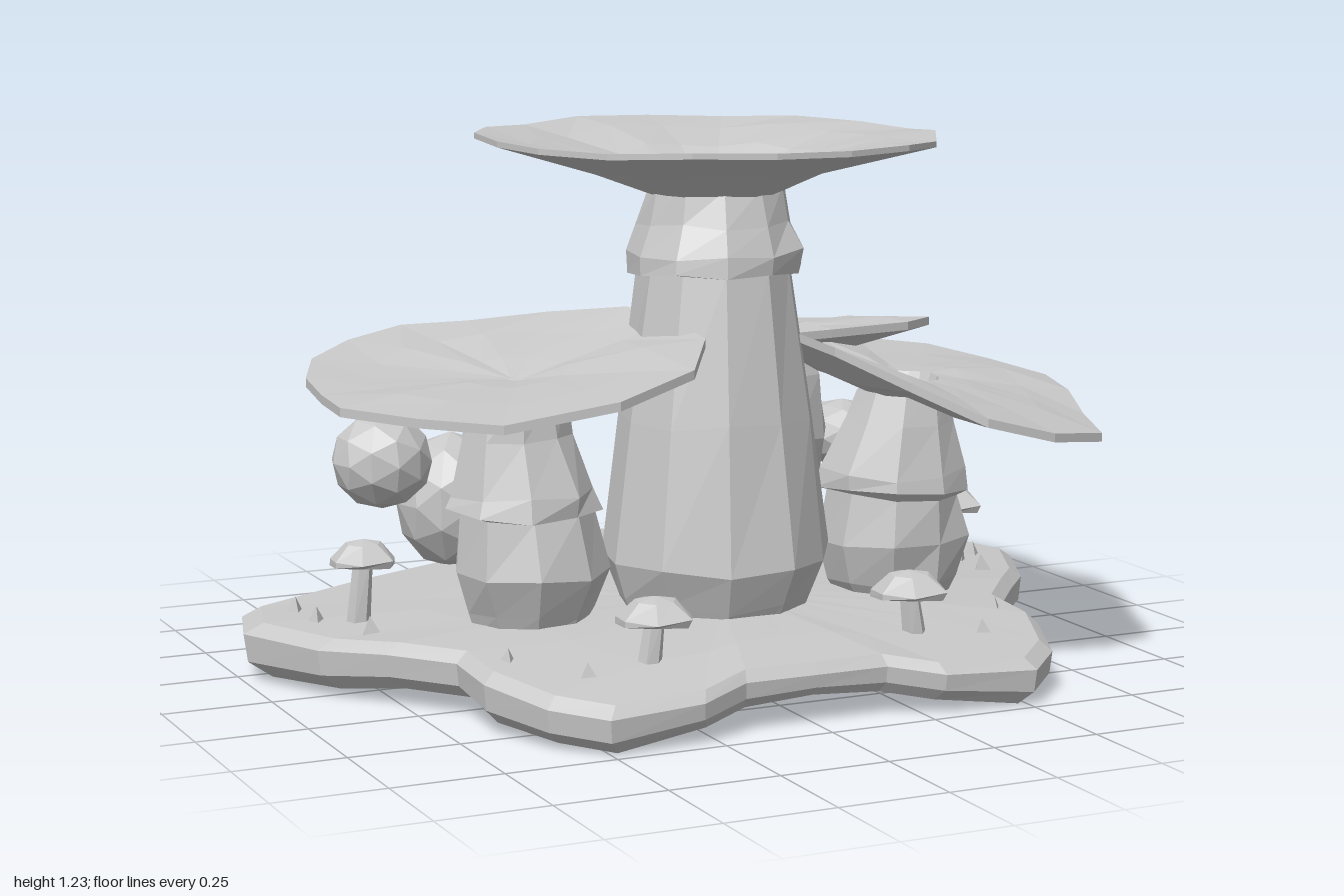
import * as THREE from 'three';

const stone = new THREE.MeshStandardMaterial({ color: 0xc8c8c8, flatShading: true, side: THREE.DoubleSide });
stone.name = 'pale grey';

// repeatable wobble in -1..1
const wobble = (n) => {
  const s = Math.sin(n * 12.9898) * 43758.5453;
  return 2 * (s - Math.floor(s)) - 1;
};

// skin over closed loops of [x, y, z] points
function loft(name, rings) {
  const n = rings[0].length, index = [];
  for (let i = 0; i < rings.length - 1; i++) {
    for (let j = 0; j < n; j++) {
      const a = i * n + j, b = i * n + (j + 1) % n;
      index.push(a, a + n, b, b, a + n, b + n);
    }
  }
  const geo = new THREE.BufferGeometry();
  geo.setAttribute('position', new THREE.Float32BufferAttribute(rings.flat(2), 3));
  geo.setIndex(index);
  geo.computeVertexNormals();
  const mesh = new THREE.Mesh(geo, stone);
  mesh.name = name;
  return mesh;
}

// stem from rows of [x, y, z, radius]
function stem(name, rows, sides = 9, rough = 0.06, seed = 1) {
  return loft(name, rows.map(([x, y, z, r], i) =>
    Array.from({ length: sides }, (_, j) => {
      const a = (j + 0.15 * seed) / sides * Math.PI * 2;
      const k = r * (1 + rough * wobble(seed * 31 + j + i * 0.01));
      return [x + Math.cos(a) * k, y + 0.06 * r * wobble(seed + i * 7 + j), z + Math.sin(a) * k];
    })));
}

// point between a circle (t = 0) and an outline point (t = 1)
function spread(cx, cz, r, x, z, t) {
  const a = Math.atan2(z - cz, x - cx);
  const ix = cx + Math.cos(a) * r, iz = cz + Math.sin(a) * r;
  return [ix + (x - ix) * t, iz + (z - iz) * t];
}

// wide thin cap: hole is [x, y, z, radius], rim points are [x, y, z],
// profile rows are [0 at hole .. 1 at rim, height above the straight line between them]
function cap(name, [cx, cy, cz, r], rim, profile, seed) {
  return loft(name, profile.map(([t, lift]) => rim.map(([rx, ry, rz], j) => {
    const [x, z] = spread(cx, cz, r, rx, rz, t);
    const bump = 0.05 * t * (1 - t) * wobble(seed * 13 + j);
    return [x, cy + (ry - cy) * t + lift + bump, z];
  })));
}

// five-lobed ground slab with an opening under the tall stem
function makeGround() {
  // x, z, lower edge, upper edge of the +x half, front to back
  const half = [
    [0.17, 0.68, 0.05, 0.13], [0.29, 0.73, 0.03, 0.11], [0.51, 0.74, 0, 0.1],
    [0.61, 0.64, 0.01, 0.11], [0.68, 0.46, 0.02, 0.13], [0.68, 0.3, 0.04, 0.14],
    [0.79, 0.16, 0.04, 0.14], [0.9, 0.02, 0.02, 0.13], [1, -0.2, 0.01, 0.13],
    [0.95, -0.37, 0.01, 0.13], [0.68, -0.45, 0.03, 0.15], [0.42, -0.53, 0.05, 0.16],
    [0.24, -0.69, 0.05, 0.16],
  ];
  const mirrored = half.map(([x, z, lo, hi]) => [-x, z, lo, hi]);
  const outline = [[0, -0.76, 0.05, 0.16], ...half.reverse(), [0, 0.68, 0.06, 0.13], ...mirrored];
  const ring = (t, height) => outline.map(([ox, oz, lo, hi]) => {
    const [x, z] = spread(0.02, 0.13, 0.17, ox, oz, t);
    return [x, height(lo, hi), z];
  });
  return loft('ground', [
    ring(0, () => 0.07),
    ring(0.55, (lo) => 0.035 + lo * 0.5),
    ring(0.93, (lo) => lo),
    ring(0.99, (lo, hi) => lo + 0.3 * (hi - lo)),
    ring(1, (lo, hi) => hi - 0.02),
    ring(0.95, (lo, hi) => hi + 0.005),
    ring(0.55, (lo, hi) => 0.085 + hi * 0.55),
    ring(0, () => 0.17),
  ]);
}

function bud(name, x, y, z, rx, ry, rz) {
  const mesh = new THREE.Mesh(new THREE.IcosahedronGeometry(1, 1), stone);
  mesh.name = name;
  mesh.scale.set(rx, ry, rz);
  mesh.position.set(x, y, z);
  return mesh;
}

function smallMushroom(x, z, base, top, r) {
  const g = new THREE.Group();
  g.name = 'smallMushroom';
  const lean = Math.sign(x) * -0.015;
  g.add(stem('smallStem', [[x - lean, base, z, 0.028], [x, top - 0.05, z, 0.022]], 6));
  g.add(stem('smallCap', [
    [x, top - 0.05, z, 0.02], [x, top - 0.06, z, r * 0.9], [x, top - 0.045, z, r],
    [x, top - 0.008, z, r * 0.5], [x, top, z, 0.001]], 7, 0.1));
  return g;
}

export function createModel() {
  const model = new THREE.Group();
  model.name = 'mushroomCluster';
  model.add(makeGround());

  // tall hollow mushroom with a collar
  model.add(stem('tallStem', [
    [0.02, 0.06, 0.13, 0.18], [0.02, 0.18, 0.13, 0.23], [0.02, 0.27, 0.13, 0.265],
    [0.02, 0.6, 0.13, 0.225], [0.02, 0.93, 0.13, 0.175], [0.02, 0.92, 0.13, 0.2],
    [0.02, 0.97, 0.13, 0.2], [0.02, 1.03, 0.13, 0.175], [0.02, 1.12, 0.13, 0.155]], 11, 0.04, 2));
  const tallRim = Array.from({ length: 18 }, (_, j) => {
    const a = j / 18 * Math.PI * 2, k = 1 + 0.015 * wobble(j + 3);
    return [0.015 + 0.515 * k * Math.cos(a), 1.222 + 0.006 * wobble(j), 0.1 + 0.535 * k * Math.sin(a)];
  });
  model.add(cap('tallCap', [0.02, 1.06, 0.13, 0.12], tallRim, [
    [0.08, 0.025], [0.42, 0.025], [1, -0.01], [1, 0.003], [0.7, 0.035], [0.35, 0.06],
    [0.1, 0.05], [0, 0]], 3));

  // left mushroom
  model.add(stem('leftStem', [
    [-0.43, 0.13, 0.11, 0.12], [-0.43, 0.18, 0.11, 0.145], [-0.43, 0.27, 0.11, 0.175],
    [-0.44, 0.41, 0.11, 0.155], [-0.45, 0.41, 0.11, 0.175], [-0.45, 0.45, 0.11, 0.165],
    [-0.46, 0.58, 0.11, 0.125], [-0.46, 0.67, 0.11, 0.11], [-0.46, 0.68, 0.11, 0.001]], 9, 0.06, 4));
  model.add(cap('leftCap', [-0.46, 0.7, 0.11, 0.02], [
    [-0.08, 0.81, 0.12], [-0.11, 0.8, 0.35], [-0.24, 0.77, 0.57], [-0.45, 0.73, 0.66],
    [-0.69, 0.69, 0.61], [-0.8, 0.68, 0.4], [-0.9, 0.68, 0.2], [-0.88, 0.68, 0.02],
    [-0.855, 0.69, -0.16], [-0.77, 0.7, -0.37], [-0.64, 0.72, -0.49], [-0.5, 0.745, -0.51],
    [-0.37, 0.76, -0.41], [-0.22, 0.79, -0.27], [-0.11, 0.82, -0.07]], [
    [0.15, -0.05], [0.55, -0.045], [1, -0.02], [1, 0], [0.65, 0.01], [0.25, 0.01], [0, 0]], 5));

  // section shared by the two right-hand caps, bowl closed inside the stem
  const bowl = [[0.15, -0.045], [0.55, -0.045], [1, -0.02], [1, 0], [0.65, 0.005],
    [0.25, 0.005], [0.05, 0], [0, -0.06]];

  // right front mushroom
  model.add(stem('rightStem', [
    [0.46, 0.13, 0.16, 0.12], [0.46, 0.18, 0.16, 0.15], [0.46, 0.28, 0.16, 0.175],
    [0.46, 0.39, 0.17, 0.155], [0.46, 0.4, 0.17, 0.175], [0.46, 0.44, 0.17, 0.165],
    [0.47, 0.56, 0.18, 0.13], [0.48, 0.63, 0.18, 0.11], [0.48, 0.58, 0.18, 0.001]], 9, 0.06, 6));
  model.add(cap('rightCap', [0.485, 0.655, 0.18, 0.06], [
    [0.9, 0.6, 0.22], [0.83, 0.575, 0.4], [0.76, 0.565, 0.59], [0.6, 0.585, 0.65],
    [0.43, 0.63, 0.65], [0.3, 0.7, 0.54], [0.21, 0.76, 0.35], [0.19, 0.78, 0.12],
    [0.23, 0.76, -0.1], [0.34, 0.71, -0.27], [0.48, 0.68, -0.38], [0.66, 0.66, -0.4],
    [0.8, 0.65, -0.28], [0.88, 0.63, -0.12], [0.94, 0.61, 0.05]], bowl, 7));

  // back mushroom
  model.add(stem('backStem', [
    [0.36, 0.13, -0.4, 0.1], [0.36, 0.18, -0.4, 0.12], [0.36, 0.3, -0.36, 0.165],
    [0.36, 0.45, -0.32, 0.165], [0.35, 0.6, -0.31, 0.15], [0.34, 0.67, -0.3, 0.13],
    [0.34, 0.6, -0.3, 0.001]], 9, 0.05, 8));
  model.add(cap('backCap', [0.335, 0.7, -0.3, 0.085], [
    [0.81, 0.715, -0.29], [0.7, 0.72, -0.2], [0.47, 0.72, -0.16], [0.26, 0.72, -0.13],
    [0.11, 0.715, -0.23], [0.05, 0.7, -0.43], [0.07, 0.685, -0.62], [0.15, 0.68, -0.71],
    [0.3, 0.675, -0.705], [0.45, 0.68, -0.69], [0.62, 0.685, -0.6], [0.75, 0.7, -0.43]], bowl, 9));

  // round buds
  model.add(bud('largeBud', -0.39, 0.32, -0.48, 0.135, 0.165, 0.14));
  model.add(bud('upperBud', -0.585, 0.44, -0.42, 0.12, 0.115, 0.12));
  model.add(bud('sideBud', 0.6, 0.43, -0.35, 0.1, 0.085, 0.125));
  model.add(bud('backPebble', 0.2, 0.2, -0.27, 0.04, 0.05, 0.04));

  // mirrored small mushrooms and ground spikes
  const spikes = [[0.86, -0.25, 0.14], [0.78, 0.03, 0.145], [0.6, 0.4, 0.135], [0.48, 0.55, 0.125],
    [0.85, -0.13, 0.14]];
  for (const s of [-1, 1]) {
    model.add(smallMushroom(s * 0.31, 0.52, 0.12, 0.28, 0.09));
    model.add(smallMushroom(s * 0.755, -0.08, 0.13, 0.33, 0.08));
    spikes.forEach(([x, z, y], i) => {
      const spike = new THREE.Mesh(new THREE.ConeGeometry(0.028, 0.045, 3), stone);
      spike.name = 'spike';
      spike.position.set(s * x, y + 0.012, z);
      spike.rotation.y = i;
      model.add(spike);
    });
  }
  return model;
}
